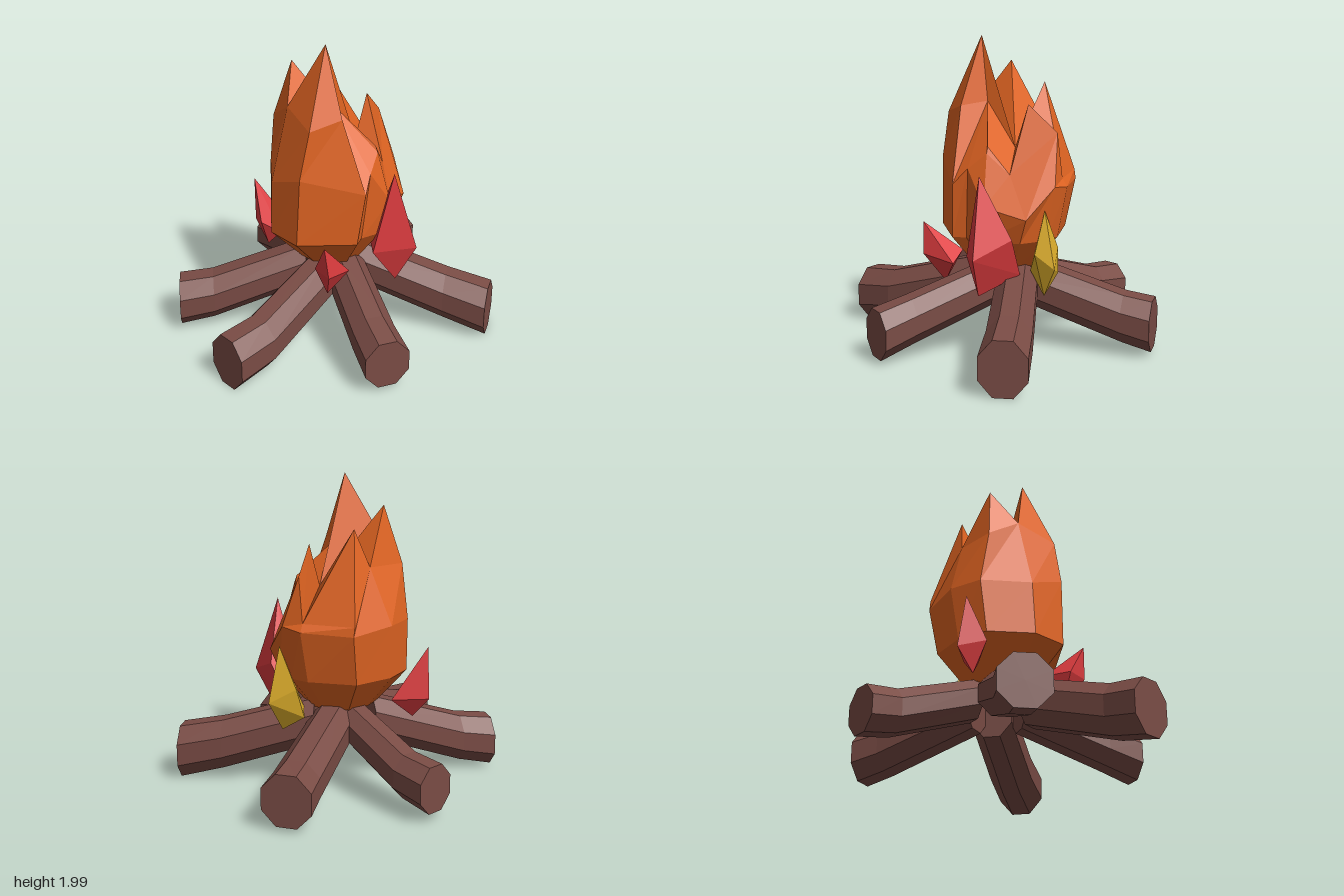
import * as THREE from 'three';
import { ConvexGeometry } from 'three/addons/geometries/ConvexGeometry.js';

const mat = (name, color, side = THREE.FrontSide) =>
  new THREE.MeshStandardMaterial({ name, color, side, flatShading: true });

// Flat-shaded geometry from a list of triangles (each three [x, y, z] corners)
function facets(tris) {
  const g = new THREE.BufferGeometry();
  g.setAttribute('position', new THREE.Float32BufferAttribute(tris.flat(2), 3));
  g.computeVertexNormals();
  return g;
}
const quad = (a, b, c, d) => [[a, b, d], [b, c, d]];

// Eight-sided log swept along a bent path from its outer end to its inner end
function logGeometry(path, rx, ry) {
  const SIDES = 8;
  const rings = path.map((p, i) => {
    const a = path[Math.max(i - 1, 0)], b = path[Math.min(i + 1, path.length - 1)];
    const len = Math.hypot(b[0] - a[0], b[2] - a[2]);
    const side = [(b[2] - a[2]) / len, -(b[0] - a[0]) / len];
    const taper = 1 - 0.06 * i;
    return Array.from({ length: SIDES }, (_, k) => {
      const t = ((k + 0.5) / SIDES) * Math.PI * 2;
      const h = Math.cos(t) * rx * taper;
      return [p[0] + side[0] * h, p[1] + Math.sin(t) * ry * taper, p[2] + side[1] * h];
    });
  });
  const tris = [];
  const last = rings.length - 1;
  for (let k = 0; k < SIDES; k++) {
    const n = (k + 1) % SIDES;
    for (let i = 0; i < last; i++) {
      tris.push(...quad(rings[i][k], rings[i][n], rings[i + 1][n], rings[i + 1][k]));
    }
    tris.push([path[0], rings[0][n], rings[0][k]]);
    tris.push([path[last], rings[last][k], rings[last][n]]);
  }
  return facets(tris);
}

// Main flame: a faceted bowl that opens into five pointed tongues.
// Each tongue has a tip and a rim of [upper, lower] points: the valley at its
// right, then one or two shoulders; the next tongue's valley closes it.
function flameGeometry() {
  const tongues = [
    { tip: [-0.09, 2, 0.08], rim: [
      [[-0.03, 1.59, 0.09], [0.05, 1.2, 0.355]],
      [[-0.1, 1.57, 0.26], [-0.03, 1.1, 0.41]],
      [[-0.29, 1.51, 0.18], [-0.36, 1.2, 0.17]]] },
    { tip: [-0.12, 1.82, -0.23], rim: [
      [[-0.25, 1.58, -0.1], [-0.38, 1.1, -0.1]],
      [[-0.21, 1.45, -0.31], [-0.2, 1.1, -0.37]]] },
    { tip: [0.16, 1.7, -0.24], rim: [
      [[0.08, 1.46, -0.3], [0.02, 1.1, -0.43]],
      [[0.3, 1.13, -0.38], [0.31, 1.07, -0.38]]] },
    { tip: [0.27, 1.59, 0.04], rim: [
      [[0.45, 1.13, -0.08], [0.48, 1.08, -0.09]],
      [[0.44, 1.42, -0.04], [0.5, 1.1, 0.05]]] },
    { tip: [0.15, 1.34, 0.28], rim: [
      [[0.27, 1.17, 0.21], [0.43, 0.91, 0.24]],
      [[0.155, 1.3, 0.295], [0.2, 0.98, 0.37]]] },
  ];
  const core = [0.17, 1.31, 0.05], base = [0.03, 0.46, 0];
  const belly = (p) => [p[0] * 0.94 - 0.04, 0.75, p[2] * 0.92];
  const foot = (p) => [p[0] * 0.5, 0.53, p[2] * 0.5];
  const tris = [];
  tongues.forEach(({ tip, rim }, i) => {
    const chain = [...rim, tongues[(i + 1) % tongues.length].rim[0]];
    // Inner walls of the tongue
    tris.push([core, chain[chain.length - 1][0], tip], [core, tip, rim[0][0]]);
    for (let k = 0; k < rim.length; k++) {
      const [up, low] = chain[k], [nextUp, nextLow] = chain[k + 1];
      // Outer faces of the tongue
      tris.push([up, tip, nextUp], ...quad(low, up, nextUp, nextLow));
      // Bowl below it
      tris.push(...quad(belly(low), low, nextLow, belly(nextLow)));
      tris.push(...quad(foot(low), belly(low), belly(nextLow), foot(nextLow)));
      tris.push([base, foot(low), foot(nextLow)]);
    }
  });
  return facets(tris);
}

export function createModel() {
  const model = new THREE.Group();
  model.name = 'campfire';
  const wood = mat('wood brown', 0x7a4c45);
  const orange = mat('flame orange', 0xe06422, THREE.DoubleSide);
  const red = mat('flame red', 0xde3c3f);
  const yellow = mat('flame yellow', 0xe0b02c);
  const add = (name, geometry, material) => {
    const mesh = new THREE.Mesh(geometry, material);
    mesh.name = name;
    model.add(mesh);
  };

  // Logs: outer end, bend, inner end, half width, half height
  const logs = [
    ['backLog', [0.19, 0.215, -0.94], [0.18, 0.245, -0.72], [0.08, 0.425, -0.18], 0.142, 0.16],
    ['backRightLog', [-0.825, 0.19, -0.56], [-0.64, 0.225, -0.44], [-0.11, 0.425, -0.13], 0.17, 0.175],
    ['rightLog', [-0.985, 0.185, 0.255], [-0.73, 0.225, 0.235], [-0.14, 0.41, 0.08], 0.158, 0.188],
    ['frontLog', [-0.23, 0.195, 0.885], [-0.165, 0.255, 0.67], [0.03, 0.425, 0.14], 0.157, 0.168],
    ['frontLeftLog', [0.735, 0.185, 0.775], [0.57, 0.25, 0.54], [0.2, 0.43, 0.06], 0.16, 0.188],
    ['backLeftLog', [0.925, 0.205, -0.42], [0.76, 0.24, -0.34], [0.18, 0.425, -0.08], 0.172, 0.178],
  ];
  for (const [name, end, bend, inner, rx, ry] of logs) {
    add(name, logGeometry([end, bend, inner], rx, ry), wood);
  }

  add('mainFlame', flameGeometry(), orange);

  // Small crystal flames: tip, foot, then the points around the middle
  const sparks = [
    ['frontRedFlame', red, [[0.2, 1.18, 0.41], [0.21, 0.43, 0.43], [0.28, 0.69, 0.55],
      [0.37, 0.79, 0.3], [0.06, 0.65, 0.38], [0.33, 0.54, 0.18], [0.2, 0.62, 0.18]]],
    ['rightRedFlame', red, [[-0.33, 0.81, 0.38], [-0.23, 0.41, 0.28],
      [-0.31, 0.6, 0.4], [-0.1, 0.56, 0.34], [-0.32, 0.62, 0.27], [-0.15, 0.62, 0.2]]],
    ['backRedFlame', red, [[-0.24, 0.93, -0.51], [-0.2, 0.46, -0.42],
      [-0.21, 0.6, -0.55], [-0.05, 0.59, -0.37], [-0.28, 0.66, -0.38], [-0.15, 0.56, -0.34]]],
    ['leftYellowFlame', yellow, [[0.47, 0.96, 0.11], [0.46, 0.41, 0.1], [0.56, 0.6, 0.12],
      [0.45, 0.69, 0.18], [0.46, 0.7, -0.03], [0.43, 0.52, -0.07], [0.31, 0.54, 0.06]]],
  ];
  for (const [name, material, pts] of sparks) {
    add(name, new ConvexGeometry(pts.map((p) => new THREE.Vector3(...p))), material);
  }
  return model;
}
